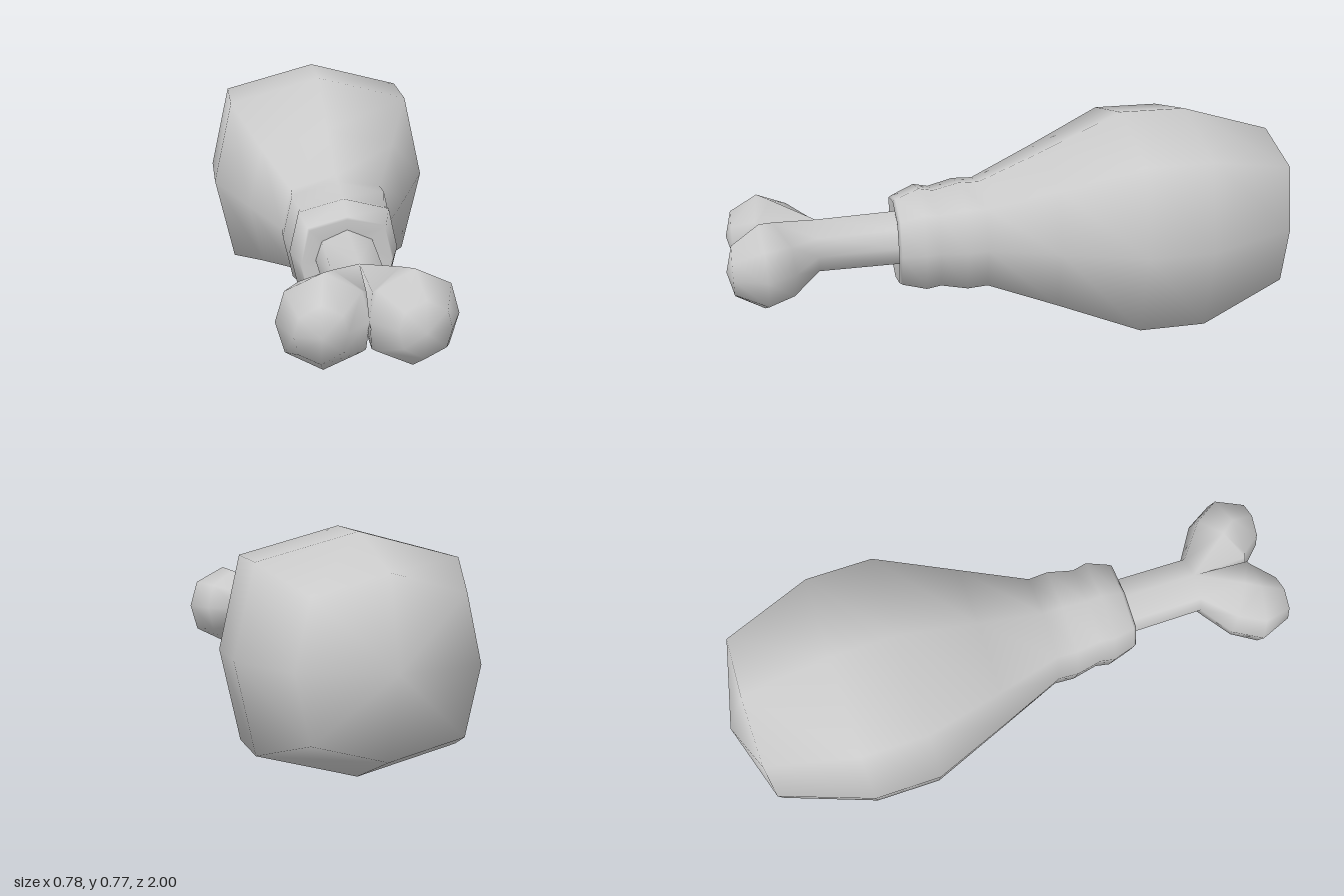
import * as THREE from 'three';
import { mergeGeometries, mergeVertices } from 'three/addons/utils/BufferGeometryUtils.js';

// Eight-sided sections between rings [x, y, z, turn, halfWidth, halfHeight]
function loft(rings, cornerX, cornerY) {
  const section = [
    [1, 0], [cornerX, cornerY], [0, 1], [-cornerX, cornerY],
    [-1, 0], [-cornerX, -cornerY], [0, -1], [cornerX, -cornerY],
  ];
  const n = section.length;
  const positions = [];
  const index = [];
  rings.forEach(([x, y, z, turn, w, h], i) => {
    for (const [u, v] of section) {
      positions.push(x + u * w * Math.cos(turn), y + v * h, z - u * w * Math.sin(turn));
    }
    if (i === 0) return;
    for (let j = 0; j < n; j++) {
      const a = (i - 1) * n + j;
      const b = (i - 1) * n + ((j + 1) % n);
      index.push(a, b, b + n, a, b + n, a + n);
    }
  });
  const geometry = new THREE.BufferGeometry();
  geometry.setAttribute('position', new THREE.Float32BufferAttribute(positions, 3));
  geometry.setIndex(index);
  return geometry;
}

// Weld shared corners so the shading runs smoothly over the facets
function smooth(geometry) {
  const welded = mergeVertices(geometry, 1e-4);
  welded.computeVertexNormals();
  return welded;
}

// Cut a half at x = 0 and join it to its mirror image
function mirrorHalf(half) {
  const p = half.attributes.position;
  for (let i = 0; i < p.count; i++) p.setX(i, Math.max(0, p.getX(i)));
  const other = half.clone().scale(-1, 1, 1);
  other.setIndex(Array.from(half.index.array).reverse());
  return mergeGeometries([half, other]);
}

export function createModel() {
  const group = new THREE.Group();
  const material = new THREE.MeshStandardMaterial({ color: 0xcccccc });

  const addPart = (name, geometry) => {
    const mesh = new THREE.Mesh(smooth(geometry), material);
    mesh.name = name;
    group.add(mesh);
  };

  // Meat: rounded back, long taper, wrinkled neck and closed rim
  const meatRings = [
    [-1.0, 0.4, 0, 0],
    [-0.91, 0.4, 0.28, 0.275],
    [-0.6, 0.387, 0.39, 0.383],
    [-0.37, 0.387, 0.39, 0.385],
    [-0.1, 0.378, 0.28, 0.272],
    [0.13, 0.371, 0.183, 0.183],
    [0.2, 0.37, 0.187, 0.186],
    [0.29, 0.368, 0.168, 0.167],
    [0.34, 0.37, 0.178, 0.175],
    [0.42, 0.363, 0.153, 0.148],
    [0.43, 0.363, 0.147, 0.142],
    [0.42, 0.366, 0.07, 0.07],
  ].map(([z, y, w, h]) => [0, y, z, 0, w, h]);
  addPart('meat', loft(meatRings, 0.83, 0.775));

  // Bone: straight shaft that forks into two rounded knuckles
  const boneHalf = [
    [0, 0.37, 0.4, 0, 0.102, 0.1],
    [0, 0.365, 0.695, 0, 0.1, 0.096],
    [0.1, 0.363, 0.84, 0.53, 0.133, 0.142],
    [0.133, 0.363, 0.885, 0.12, 0.139, 0.153],
    [0.15, 0.364, 0.978, 0, 0.078, 0.091],
    [0.15, 0.362, 1.0, 0, 0, 0],
  ];
  addPart('bone', mirrorHalf(loft(boneHalf, 0.8, 0.63)));

  return group;
}
